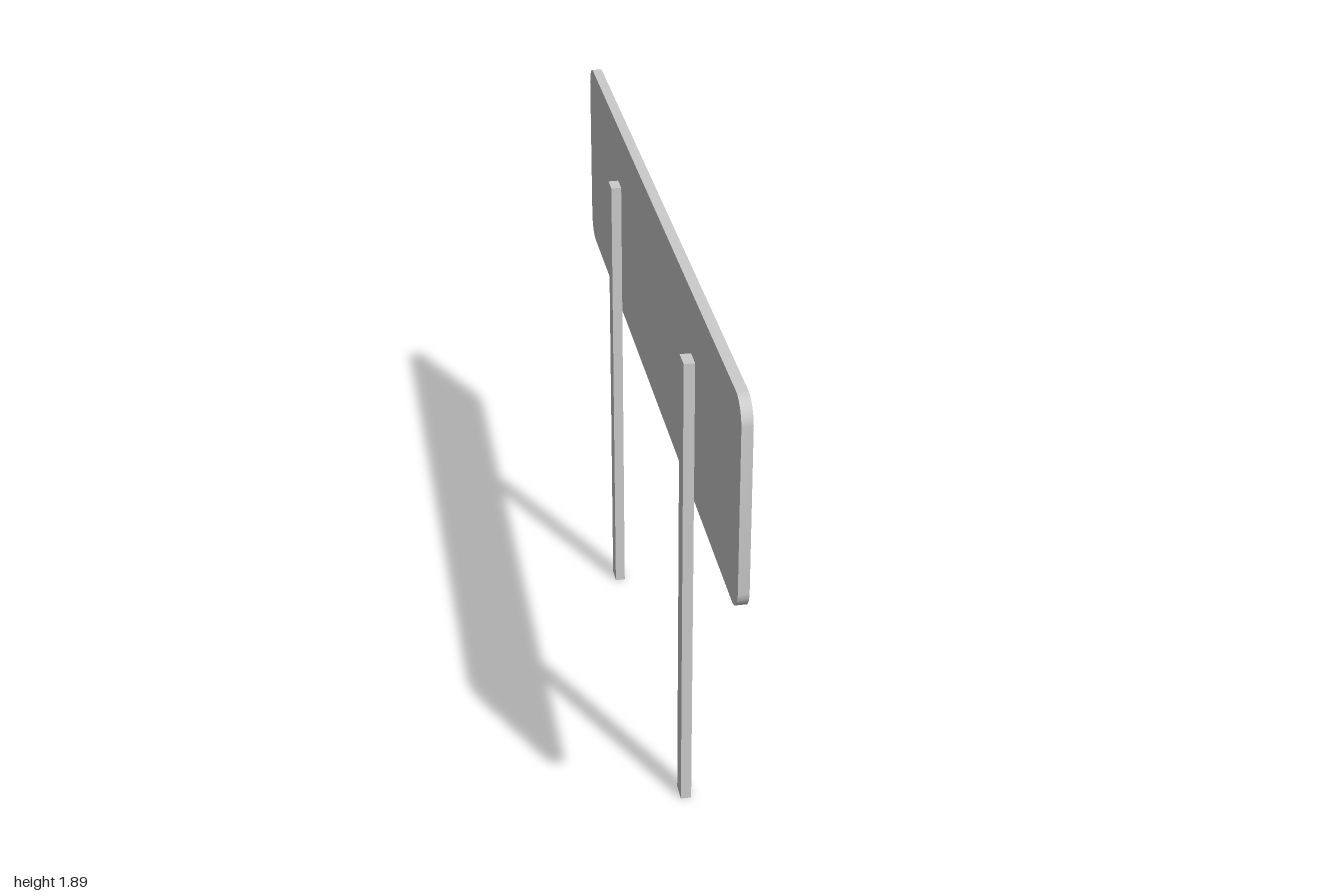
import * as THREE from 'three';
import { toCreasedNormals } from 'three/addons/utils/BufferGeometryUtils.js';

const LENGTH = 2.793, HEIGHT = 0.7, THICK = 0.035, RADIUS = 0.08;
const BOTTOM = 1.19;
const POST = { width: 0.068, height: 1.68, depth: 0.036, offset: 0.699 };

function roundedRect(w, h, r) {
  const s = new THREE.Shape(), x = w / 2, y = h / 2;
  s.absarc(x - r, y - r, r, 0, Math.PI / 2);
  s.absarc(-x + r, y - r, r, Math.PI / 2, Math.PI);
  s.absarc(-x + r, -y + r, r, Math.PI, Math.PI * 1.5);
  s.absarc(x - r, -y + r, r, Math.PI * 1.5, Math.PI * 2);
  s.closePath();
  return s;
}

export function createModel() {
  const material = new THREE.MeshStandardMaterial({ color: 0xcccccc });
  const sign = new THREE.Group();
  sign.name = 'signboard';

  // Rounded board
  const boardGeo = new THREE.ExtrudeGeometry(roundedRect(LENGTH, HEIGHT, RADIUS), {
    depth: THICK, bevelEnabled: false, curveSegments: 8,
  });
  boardGeo.translate(0, BOTTOM + HEIGHT / 2, -THICK / 2);
  const board = new THREE.Mesh(toCreasedNormals(boardGeo, Math.PI / 6), material);
  board.name = 'board';
  sign.add(board);

  // Two posts fixed against one face of the board
  const postGeo = new THREE.BoxGeometry(POST.width, POST.height, POST.depth);
  for (const side of [-1, 1]) {
    const post = new THREE.Mesh(postGeo, material);
    post.name = side < 0 ? 'rightPost' : 'leftPost';
    post.position.set(side * POST.offset, POST.height / 2, (THICK + POST.depth) / 2);
    sign.add(post);
  }

  // The whole sign stands diagonally
  sign.rotation.y = -Math.PI / 4;
  const model = new THREE.Group();
  model.add(sign);
  return model;
}
